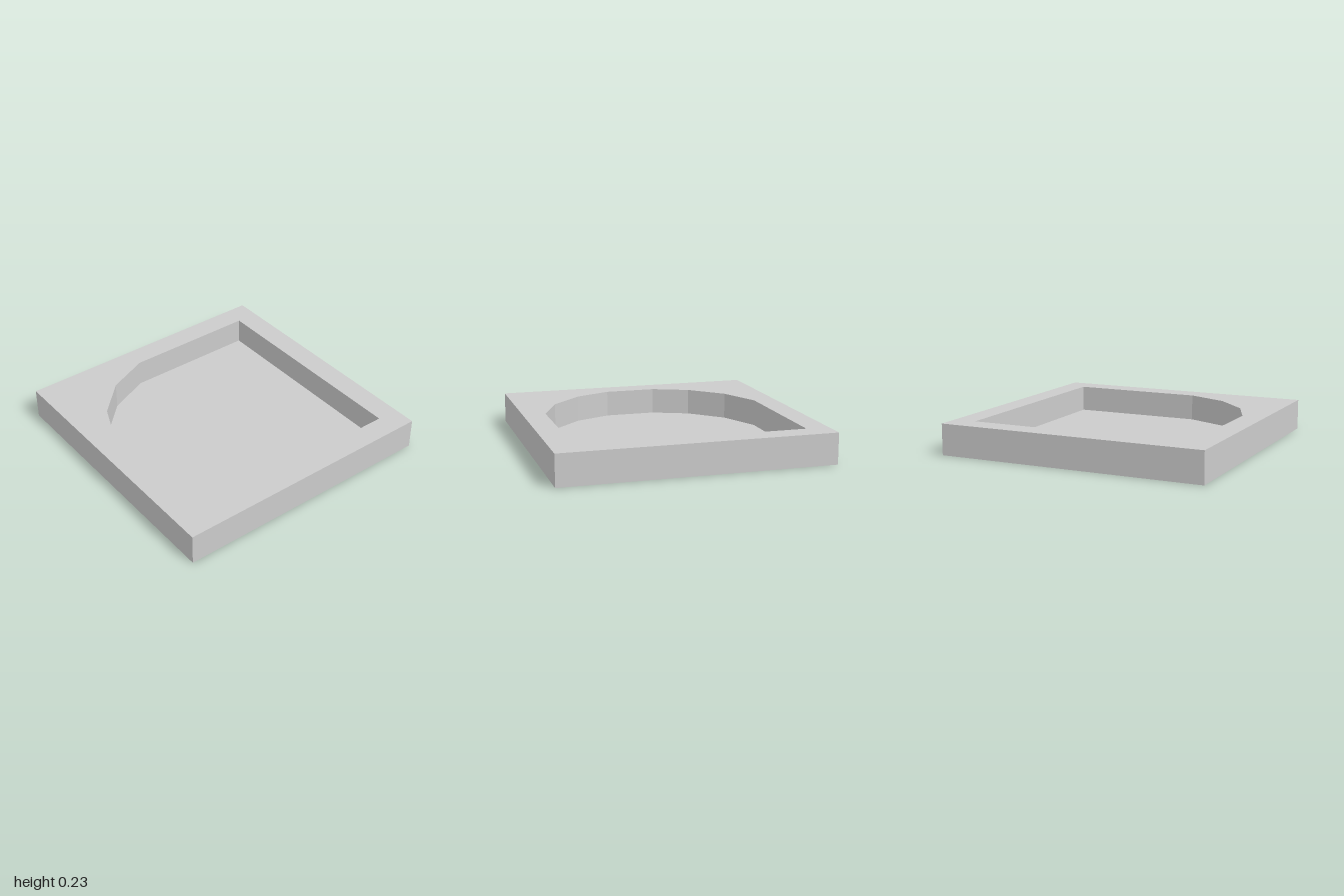
import * as THREE from 'three';
import { mergeGeometries } from 'three/addons/utils/BufferGeometryUtils.js';

const HEIGHT = 0.23;
const FLOOR = 0.033;

// Outlines as [x, z]; the recess runs the opposite way so its walls face inward
const outer = [[-1, 1], [1, 1], [1, -1], [-1, -1]];
const half = [[0.83, -0.83], [0.83, 0.165], [0.695, 0.476], [0.463, 0.707], [0.192, 0.824]];
const recess = [...half, ...half.map(([x, z]) => [-x, z]).reverse()];

const toPoints = (outline) => outline.map(([x, z]) => new THREE.Vector2(x, -z));

// Flat horizontal face at height y, with an optional hole
function cap(outline, y, hole) {
  const shape = new THREE.Shape(toPoints(outline));
  if (hole) shape.holes.push(new THREE.Path(toPoints(hole)));
  return new THREE.ShapeGeometry(shape).rotateX(-Math.PI / 2).translate(0, y, 0).toNonIndexed();
}

// One upright panel per outline segment
function walls(outline, y0, y1) {
  const panels = outline.map(([ax, az], i) => {
    const [bx, bz] = outline[(i + 1) % outline.length];
    const dx = bx - ax, dz = bz - az;
    return new THREE.PlaneGeometry(Math.hypot(dx, dz), y1 - y0)
      .rotateY(Math.atan2(-dz, dx))
      .translate((ax + bx) / 2, (y0 + y1) / 2, (az + bz) / 2)
      .toNonIndexed();
  });
  return mergeGeometries(panels);
}

export function createModel() {
  const group = new THREE.Group();
  group.name = 'recessedTray';
  const material = new THREE.MeshStandardMaterial({ color: 0xcccccc, flatShading: true });

  const tray = new THREE.Mesh(mergeGeometries([
    cap(outer, HEIGHT, recess),                             // rim
    walls(outer, 0, HEIGHT),                                // outer sides
    walls(recess, FLOOR, HEIGHT),                           // recess sides
    cap(recess, FLOOR),                                     // recess floor
    new THREE.PlaneGeometry(2, 2).rotateX(Math.PI / 2).toNonIndexed(), // underside
  ]), material);
  tray.name = 'tray';
  group.add(tray);
  return group;
}
